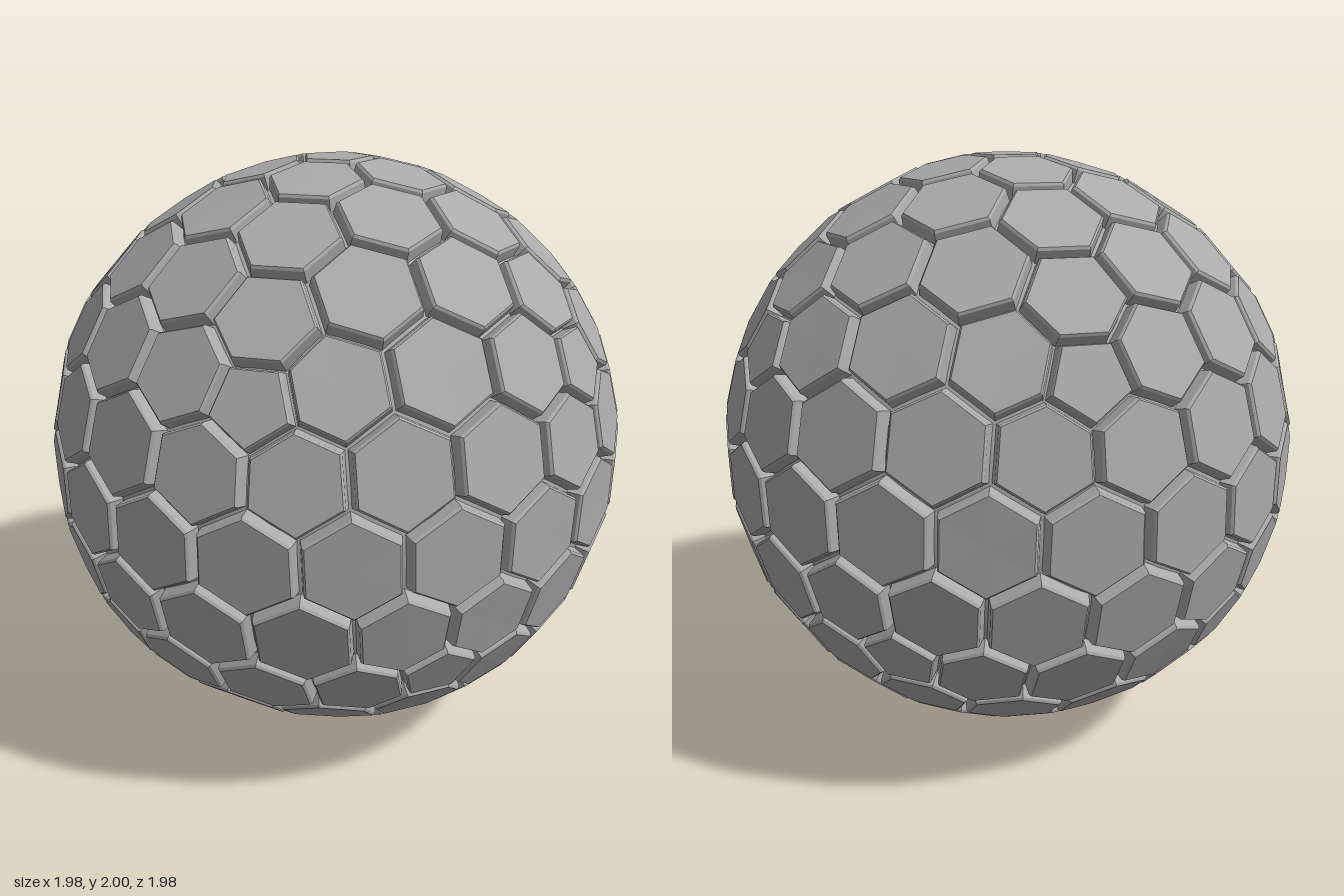
import * as THREE from 'three';

const FREQ = 4;      // subdivisions along each icosahedron edge
// cross-section of a tile: [share of the cell outline, depth below the cell plane]
const TOP = [0.86, 0], BEVEL = [0.9, 0.008], FOOT = [0.93, 0.07];

// icosahedron corners: two poles and two staggered rings of five
function icosahedronFaces() {
  const ring = (k, y, shift) => {
    const a = (k * 72 + shift) * Math.PI / 180, r = 2 / Math.sqrt(5);
    return new THREE.Vector3(r * Math.cos(a), y, r * Math.sin(a));
  };
  const h = 1 / Math.sqrt(5);
  const top = new THREE.Vector3(0, 1, 0), bottom = new THREE.Vector3(0, -1, 0);
  const faces = [];
  for (let k = 0; k < 5; k++) {
    const u0 = ring(k, h, 0), u1 = ring(k + 1, h, 0);
    const l0 = ring(k, -h, 36), l1 = ring(k + 1, -h, 36);
    faces.push([top, u0, u1], [u0, l0, u1], [u1, l0, l1], [bottom, l1, l0]);
  }
  return faces;
}

// one cell per geodesic point, outlined by the centres of the triangles around it
function makeCells() {
  const cells = new Map();
  const addTriangle = (pts) => {
    const centre = new THREE.Vector3();
    pts.forEach((p) => centre.addScaledVector(p, 1 / 3));
    for (const p of pts) {
      const key = p.toArray().map((v) => Math.round(v * 1000)).join();
      if (!cells.has(key)) cells.set(key, { normal: p, outline: [] });
      cells.get(key).outline.push(centre);
    }
  };
  for (const [a, b, c] of icosahedronFaces()) {
    const at = (i, j) => new THREE.Vector3()
      .addScaledVector(a, FREQ - i - j).addScaledVector(b, i).addScaledVector(c, j).normalize();
    for (let i = 0; i < FREQ; i++) {
      for (let j = 0; j < FREQ - i; j++) {
        addTriangle([at(i, j), at(i + 1, j), at(i, j + 1)]);
        if (i + j < FREQ - 1) addTriangle([at(i + 1, j), at(i + 1, j + 1), at(i, j + 1)]);
      }
    }
  }
  // put each outline in counter-clockwise order seen from outside
  for (const cell of cells.values()) {
    const n = cell.normal;
    const u = new THREE.Vector3(0.31, 0.17, 0.93).cross(n).normalize();
    const v = n.clone().cross(u);
    const angle = (p) => Math.atan2(p.dot(v), p.dot(u));
    cell.outline.sort((p, q) => angle(p) - angle(q));
    cell.centre = new THREE.Vector3();
    cell.outline.forEach((p) => cell.centre.addScaledVector(p, 1 / cell.outline.length));
  }
  return [...cells.values()];
}

// raised plate with a flat top, a narrow bevel and steep sides
function addTile(out, { normal, centre, outline }, scale) {
  const c = centre.clone().multiplyScalar(scale);
  const loops = [TOP, BEVEL, FOOT].map(([share, depth]) => outline.map((p) =>
    p.clone().multiplyScalar(scale).sub(c).multiplyScalar(share).add(c).addScaledVector(normal, -depth)));
  const tri = (...pts) => pts.forEach((p) => out.push(p.x, p.y, p.z));
  for (let i = 0; i < outline.length; i++) {
    const j = (i + 1) % outline.length;
    tri(c, loops[0][i], loops[0][j]);
    for (let k = 0; k < 2; k++) {
      const up = loops[k], low = loops[k + 1];
      tri(low[i], low[j], up[j]);
      tri(low[i], up[j], up[i]);
    }
  }
}

export function createModel() {
  const model = new THREE.Group();
  model.name = 'panelledBall';
  const grey = new THREE.MeshStandardMaterial({ color: 0xaaaaaa });
  grey.name = 'grey';

  const cells = makeCells();
  const scale = 1 / cells.find((c) => c.outline.length === 5).centre.length();

  // hexagonal and pentagonal plates
  for (const [name, sides] of [['hexagonTiles', 6], ['pentagonTiles', 5]]) {
    const positions = [];
    cells.filter((c) => c.outline.length === sides).forEach((c) => addTile(positions, c, scale));
    const geometry = new THREE.BufferGeometry();
    geometry.setAttribute('position', new THREE.Float32BufferAttribute(positions, 3));
    geometry.computeVertexNormals();
    const tiles = new THREE.Mesh(geometry, grey);
    tiles.name = name;
    model.add(tiles);
  }

  // round core forming the floor of the grooves
  const core = new THREE.Mesh(new THREE.SphereGeometry(0.955, 64, 40), grey);
  core.name = 'core';
  model.add(core);

  model.children.forEach((part) => { part.position.y = 1; });
  return model;
}
